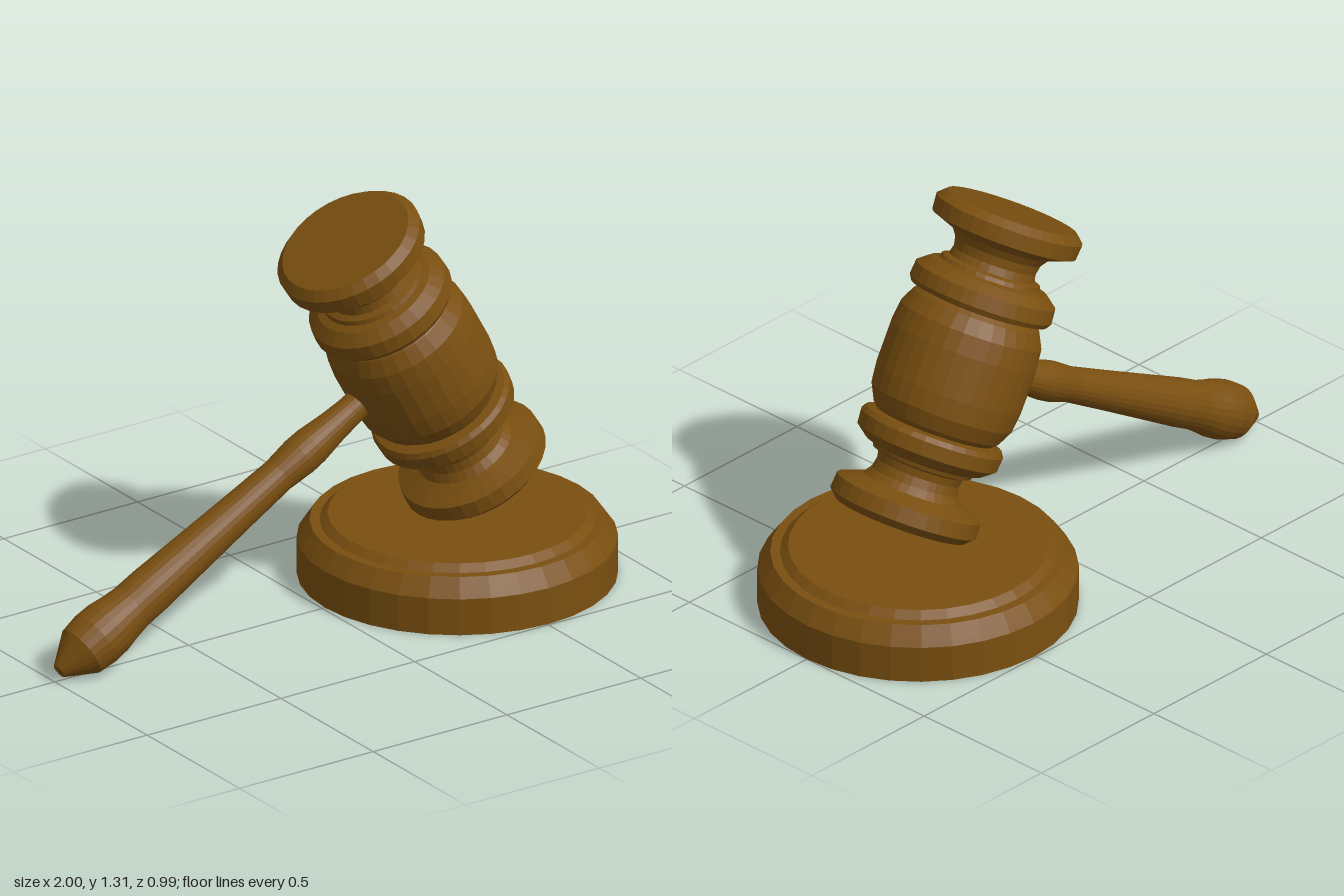
import * as THREE from 'three';

const wood = new THREE.MeshStandardMaterial({ color: 0x7a4f10, flatShading: true });

// Turned wooden part from [radius, height] pairs, listed bottom to top
function turned(name, profile, sides) {
  const points = profile.map(([r, y]) => new THREE.Vector2(r, y));
  const mesh = new THREE.Mesh(new THREE.LatheGeometry(points, sides), wood);
  mesh.name = name;
  return mesh;
}

export function createModel() {
  const model = new THREE.Group();
  model.name = 'gavelAndBlock';

  // Round sounding block with a stepped top
  const block = turned('soundingBlock', [
    [0, 0], [0.495, 0], [0.495, 0.12], [0.485, 0.135], [0.455, 0.178],
    [0.425, 0.178], [0.4, 0.2], [0, 0.2],
  ], 32);
  block.position.x = 0.505;
  model.add(block);

  // Tilted gavel, with its origin in the middle of the head
  const gavel = new THREE.Group();
  gavel.name = 'gavel';
  gavel.position.set(0.334, 0.765, 0);
  gavel.rotation.z = THREE.MathUtils.degToRad(29.1);
  model.add(gavel);

  // Head: upper half profile from the barrel to the striking face, mirrored below
  const half = [
    [0.237, 0.07], [0.23, 0.135], [0.205, 0.185], [0.19, 0.2],
    [0.222, 0.206], [0.232, 0.222], [0.228, 0.268], [0.19, 0.298],
    [0.165, 0.305], [0.16, 0.318], [0.14, 0.325], [0.134, 0.35],
    [0.14, 0.38], [0.158, 0.405], [0.235, 0.435], [0.239, 0.485],
    [0.212, 0.51], [0, 0.51],
  ];
  const mirrored = half.map(([r, y]) => [r, -y]).reverse();
  gavel.add(turned('head', [...mirrored, ...half], 32));

  // Handle, running from inside the head to the pointed grip end
  const handle = turned('handle', [
    [0, 0.1], [0.046, 0.1], [0.047, 0.27], [0.052, 0.34], [0.063, 0.43],
    [0.064, 0.48], [0.056, 0.57], [0.062, 0.75], [0.07, 0.95],
    [0.077, 1.12], [0.077, 1.2], [0.083, 1.25], [0.092, 1.3], [0.094, 1.35],
    [0.086, 1.412], [0.024, 1.508], [0, 1.512],
  ], 24);
  handle.rotation.z = Math.PI / 2;
  gavel.add(handle);

  return model;
}
